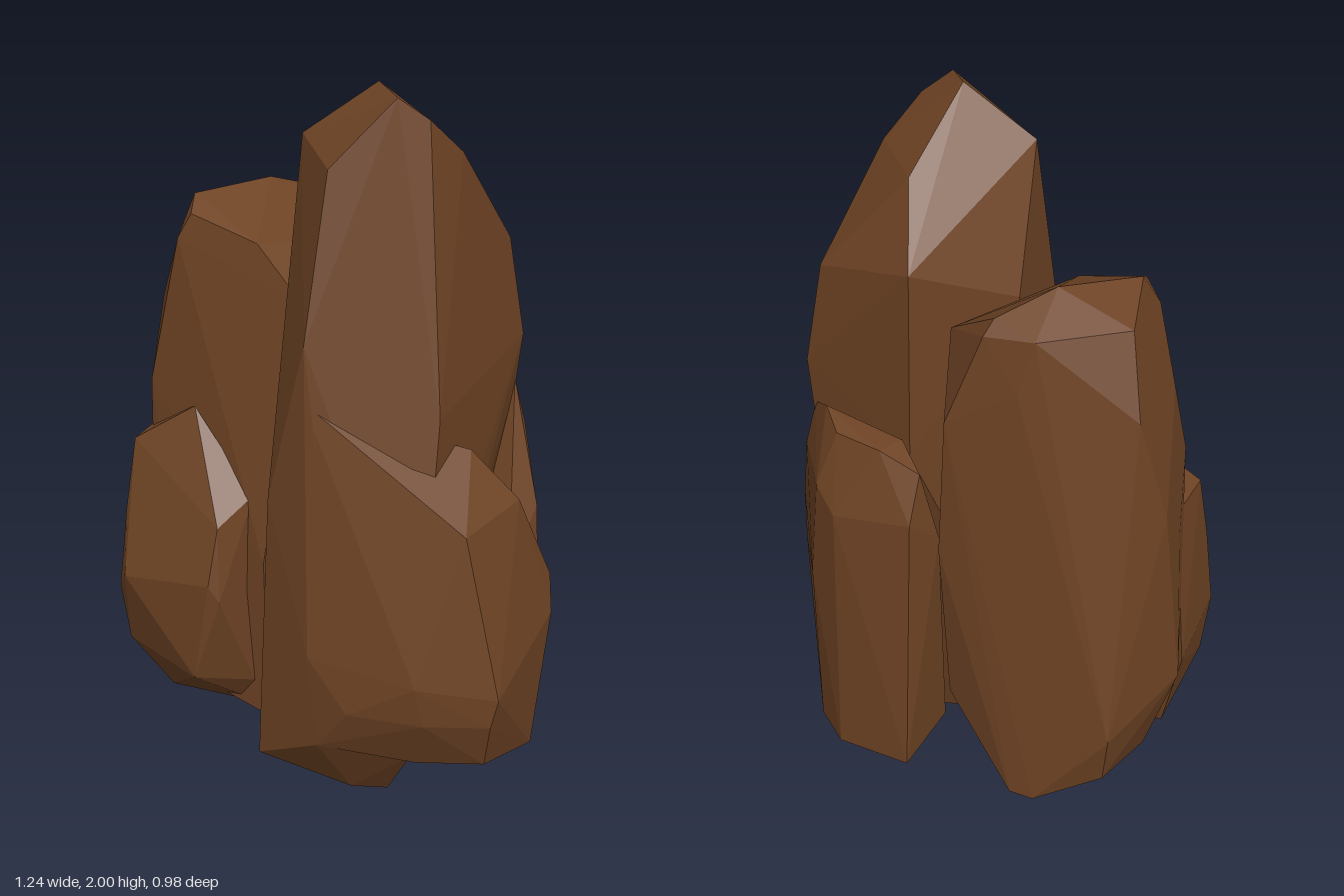
import * as THREE from 'three';
import { ConvexGeometry } from 'three/addons/geometries/ConvexGeometry.js';

// Corner points [x, y, z] of each faceted boulder
const ROCKS = {
  tallRock: [
    // sloping crown
    [0.13, 2, 0.14], [0.2, 1.98, 0.26], [0.03, 1.8, 0.31], [-0.07, 1.86, 0.15], [0.28, 1.92, 0.23],
    [0.35, 1.82, 0.12], [0.2, 1.82, -0.1], [0.14, 1.63, -0.28], [-0.09, 1.5, -0.06],
    // shoulders and sides
    [0.45, 1.54, -0.12], [0.49, 1.26, -0.15], [0.47, 1.1, -0.16], [0.31, 1.5, 0.26], [0.33, 1.15, 0.32],
    [0.14, 1.1, -0.3], [-0.02, 1.35, 0.38], [-0.13, 0.9, 0.34], [-0.13, 0.8, 0],
    // foot
    [0.3, 0.5, 0.42], [0.11, 0.35, 0.47], [0.0, 0.5, 0.45], [-0.16, 0.15, 0.35], [0.02, 0.13, 0.36],
    [0.02, 0.23, 0.43], [0.28, 0.22, 0.42], [0.2, 0.065, 0.33], [0.1, 0.065, 0.34],
    [-0.17, 0.02, 0.06], [0.2, 0, 0.03], [0.3, 0.2, 0],
  ],
  backSideRock: [
    // flat top
    [-0.43, 1.63, -0.09], [-0.25, 1.65, -0.25], [-0.12, 1.6, -0.37], [-0.46, 1.58, -0.29],
    [-0.24, 1.57, -0.41], [-0.1, 1.56, -0.4], [0.04, 1.48, -0.24],
    // front edge
    [-0.42, 1.59, -0.01], [-0.22, 1.53, 0.05], [-0.08, 1.38, 0.11], [-0.46, 1.52, -0.01],
    // sides
    [-0.53, 1.33, -0.1], [-0.55, 1.1, -0.02], [-0.5, 1.35, -0.35], [-0.57, 1.05, -0.3],
    [-0.58, 0.93, -0.18], [0.0, 1.3, -0.42], [0.02, 0.9, -0.42], [0.05, 1.2, -0.28], [-0.2, 1.42, -0.43],
    // foot
    [-0.61, 0.5, -0.24], [-0.52, 0.24, -0.24], [-0.48, 0.42, -0.49], [-0.46, 0.27, -0.46],
    [-0.27, 0.17, -0.49], [-0.2, 0.17, -0.48], [0.0, 0.42, -0.4], [0.05, 0.6, -0.3],
    [-0.55, 0.3, 0], [-0.18, 0.16, 0.15], [-0.4, 0.24, 0.1], [-0.18, 0.65, 0.19],
  ],
  smallSideRock: [
    [-0.4, 1.06, 0.07], [-0.58, 0.95, 0.06], [-0.22, 0.83, 0.14], [-0.3, 0.76, 0.23], [-0.6, 0.75, 0.1],
    [-0.62, 0.52, 0.12], [-0.59, 0.57, 0.17], [-0.32, 0.6, 0.27], [-0.29, 0.55, 0.26], [-0.22, 0.27, 0.15],
    [-0.6, 0.35, 0.1], [-0.37, 0.31, 0.25], [-0.48, 0.2, 0.08], [-0.2, 0.15, 0.06],
    [-0.61, 0.52, -0.2], [-0.56, 0.3, -0.2], [-0.56, 0.95, -0.12],
  ],
  frontRock: [
    // peak and outer side
    [0.4, 1.04, 0.22], [0.3, 0.92, 0.42], [0.42, 0.87, 0.43], [0.53, 0.9, 0.2], [0.48, 0.77, 0.04],
    [0.61, 0.65, 0.1], [0.62, 0.55, 0.13], [0.48, 0.4, 0.04],
    // front, running into the tall rock
    [0.3, 0.45, 0.49], [0.52, 0.43, 0.47], [0.5, 0.35, 0.47], [0.32, 0.34, 0.48],
    [-0.02, 1.2, 0.39], [0.0, 0.5, 0.45], [0.11, 0.35, 0.47], [0.02, 0.23, 0.43],
    // foot
    [0.58, 0.18, 0.2], [0.57, 0.19, 0.07], [0.48, 0.15, 0.05], [0.29, 0.2, 0.42], [0.48, 0.22, 0.43],
    [0.3, 0.14, 0.3], [0.25, 0.15, 0.1],
  ],
  backRock: [
    [0.2, 1.15, -0.37], [0.4, 1.18, -0.24], [0.47, 1.13, -0.15], [0.34, 1.15, -0.32], [0.08, 1.11, -0.39],
    [0.16, 1.15, -0.3], [0.39, 1.0, -0.36], [0.32, 0.95, -0.42], [0.09, 0.98, -0.45],
    [0.5, 1.0, -0.16], [0.55, 0.78, -0.08], [0.56, 0.6, -0.06], [0.49, 0.6, 0.04], [0.42, 0.7, -0.35],
    [0.1, 0.2, -0.49], [0.32, 0.19, -0.44], [0.41, 0.2, -0.35], [0.54, 0.19, -0.07],
    [0.47, 0.14, 0.03], [0.2, 0.13, 0.02], [0.05, 0.25, -0.3], [0.04, 0.9, -0.36],
  ],
};

export function createModel() {
  const model = new THREE.Group();
  model.name = 'rockCluster';
  const stone = new THREE.MeshStandardMaterial({ color: 0x6e4324 });
  stone.name = 'brown stone';

  for (const [name, corners] of Object.entries(ROCKS)) {
    const points = corners.map((c) => new THREE.Vector3(...c));
    const rock = new THREE.Mesh(new ConvexGeometry(points), stone);
    rock.name = name;
    model.add(rock);
  }
  return model;
}
